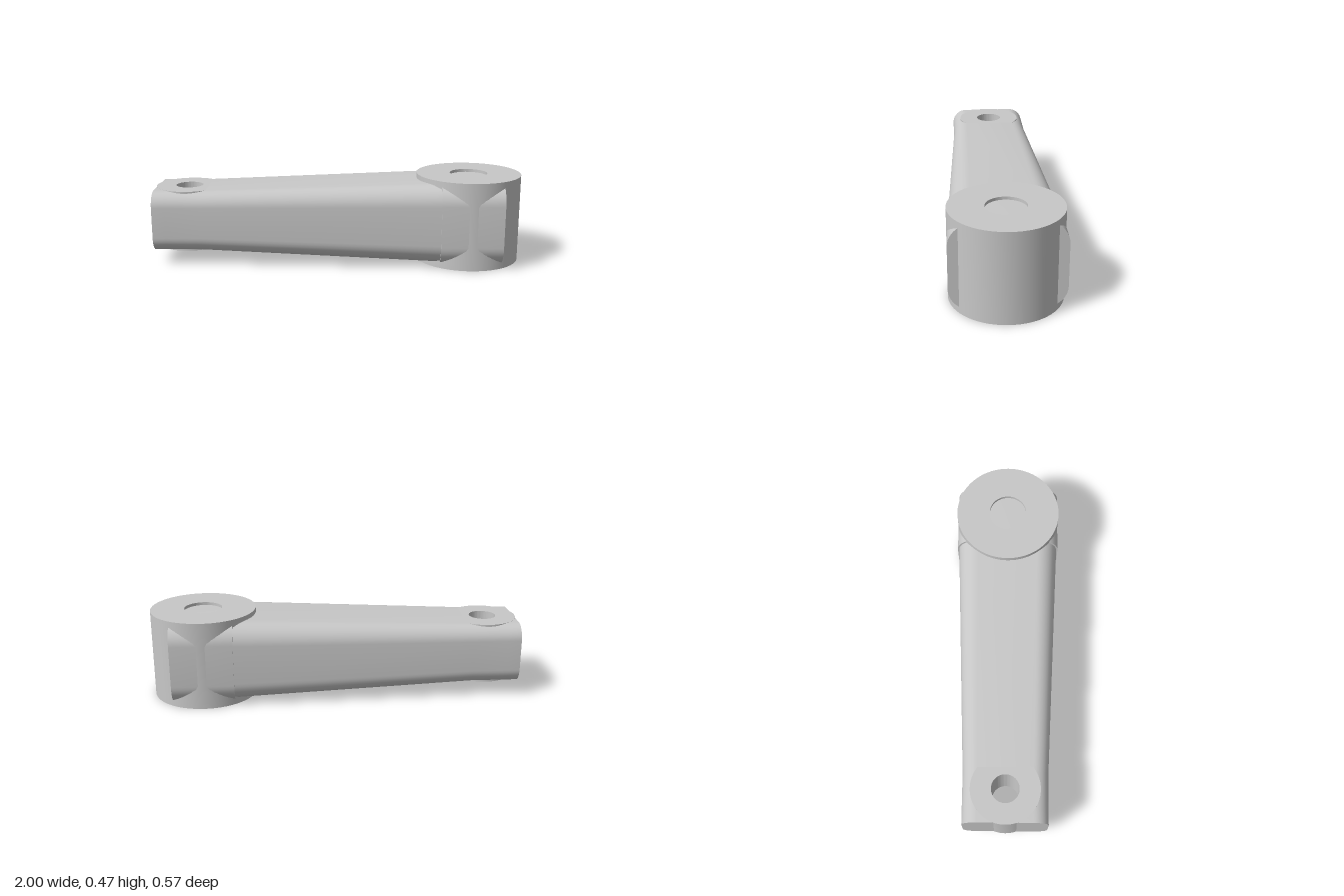
import * as THREE from 'three';
import { toCreasedNormals } from 'three/addons/utils/BufferGeometryUtils.js';

const MID = 0.237; // height of the arm's centre line
const N = 10; // segments per rounded corner

// Rounded-rectangle cross-section in the plane at x
function section({ x, w, h, r }) {
  const signs = [[1, 1], [-1, 1], [-1, -1], [1, -1]];
  return signs.flatMap(([sz, sy], k) => Array.from({ length: N + 1 }, (_, i) => {
    const a = (k + i / N) * Math.PI / 2;
    return [x, MID + sy * (h - r) + r * Math.sin(a), sz * (w - r) + r * Math.cos(a)];
  }));
}

// Skin the sections along x; a station marked open leaves its flat top and bottom out
function loft(stations) {
  const rings = stations.map(section);
  const count = rings[0].length;
  const pos = [];
  const tri = (a, b, c) => pos.push(...a, ...b, ...c);
  for (let i = 0; i < rings.length - 1; i++) {
    for (let j = 0; j < count; j++) {
      if (stations[i].open && (j === N || j === 3 * N + 2)) continue;
      const k = (j + 1) % count;
      tri(rings[i][j], rings[i + 1][j], rings[i + 1][k]);
      tri(rings[i][j], rings[i + 1][k], rings[i][k]);
    }
  }
  const first = rings[0], last = rings[rings.length - 1];
  for (let j = 0; j < count; j++) {
    const k = (j + 1) % count;
    tri([first[0][0], MID, 0], first[j], first[k]);
    tri([last[0][0], MID, 0], last[k], last[j]);
  }
  const g = new THREE.BufferGeometry();
  g.setAttribute('position', new THREE.Float32BufferAttribute(pos, 3));
  return toCreasedNormals(g, 0.5);
}

function turned(profile) {
  const pts = profile.map(([r, y]) => new THREE.Vector2(r, y));
  return toCreasedNormals(new THREE.LatheGeometry(pts, 72), 0.5);
}

export function createModel() {
  const group = new THREE.Group();
  const metal = new THREE.MeshStandardMaterial({ color: 0xc8c8c8 });
  metal.name = 'light grey metal';
  const add = (name, geometry, x = 0) => {
    const mesh = new THREE.Mesh(geometry, metal);
    mesh.name = name;
    mesh.position.x = x;
    group.add(mesh);
  };

  // Tapered arm, open under the pad so the pin hole runs through
  const small = { w: 0.222, h: 0.163, r: 0.08 };
  add('arm', loft([
    { x: -0.99, ...small },
    { x: -0.92, ...small, open: true },
    { x: -0.735, ...small },
    { x: 0.55, w: 0.275, h: 0.215, r: 0.11 },
  ]));

  // Block across the large end
  const big = { w: 0.2825, h: 0.221, r: 0.11 };
  add('hubBlock', loft([{ x: 0.55, ...big }, { x: 0.88, ...big }]));

  // Round hub with a shallow recess in each face
  add('hub', turned([
    [0, 0.02], [0.102, 0.02], [0.102, 0], [0.2835, 0],
    [0.2835, 0.474], [0.102, 0.474], [0.102, 0.454], [0, 0.454],
  ]), 0.7165);

  // Pad around the pin hole, almost level with the arm
  add('pinPad', turned([
    [0.18, 0.073], [0.18, 0.401], [0.073, 0.401], [0.073, 0.073], [0.18, 0.073],
  ]), -0.82);

  return group;
}
